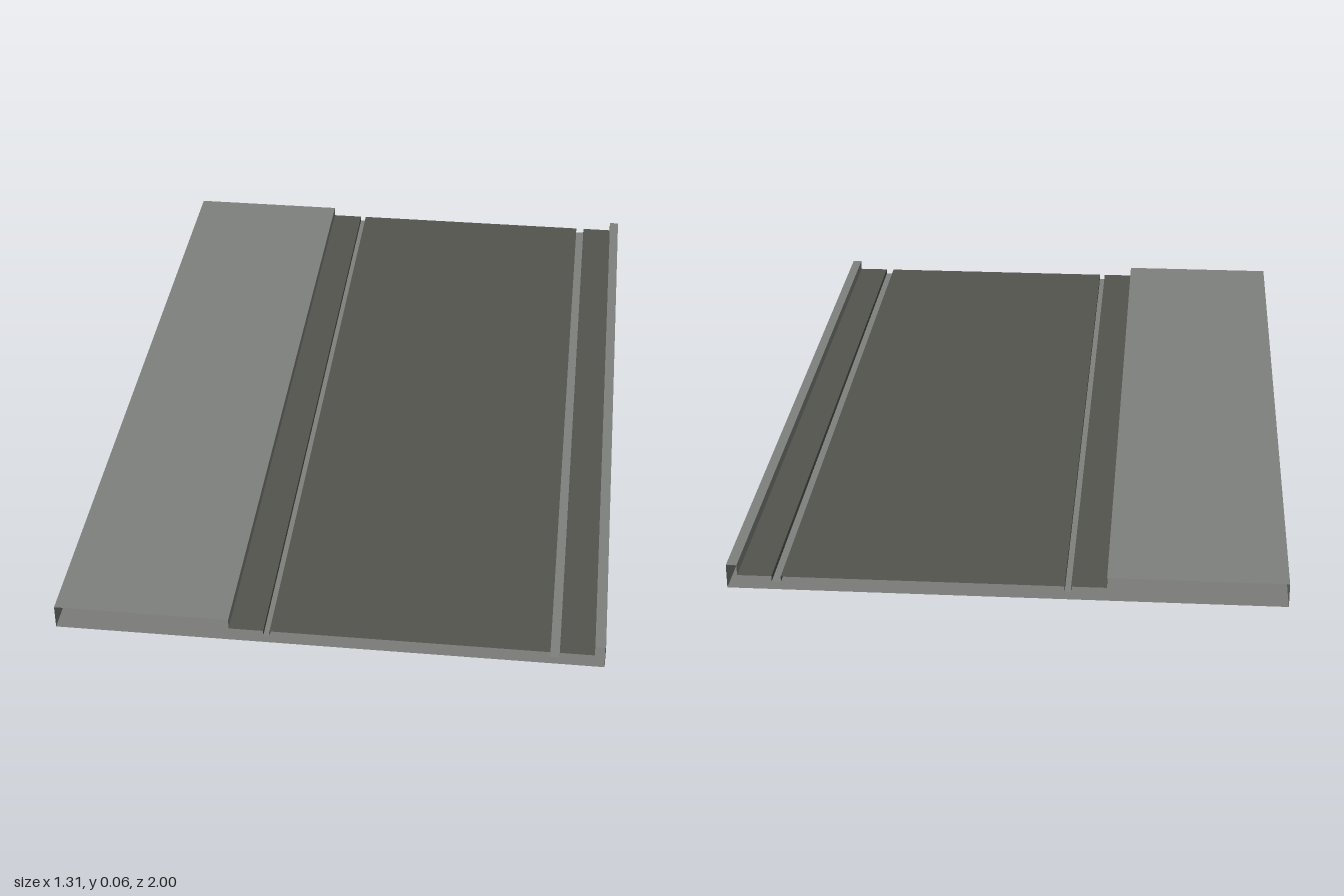
import * as THREE from 'three';

const paving = new THREE.MeshStandardMaterial({ color: 0x7e817d, side: THREE.DoubleSide });
paving.name = 'paving grey';
const concrete = new THREE.MeshStandardMaterial({ color: 0x7b7b79, side: THREE.DoubleSide });
concrete.name = 'concrete grey';
const asphalt = new THREE.MeshStandardMaterial({ color: 0x54544e, side: THREE.DoubleSide });
asphalt.name = 'asphalt';

const LENGTH = 2, EDGE = 0.655, TOP = 0.06, ROAD = 0.034, GROOVE = 0.02;
const KERB_R = -0.235, KERB_L = 0.63;

// Open sheet swept along z through [x, y] points; left-to-right points face up
function sheet(name, material, points) {
  const positions = [];
  const h = LENGTH / 2;
  for (let i = 0; i + 1 < points.length; i++) {
    const [ax, ay] = points[i], [bx, by] = points[i + 1];
    positions.push(ax, ay, -h, ax, ay, h, bx, by, h);
    positions.push(ax, ay, -h, bx, by, h, bx, by, -h);
  }
  const geometry = new THREE.BufferGeometry();
  geometry.setAttribute('position', new THREE.Float32BufferAttribute(positions, 3));
  geometry.computeVertexNormals();
  const mesh = new THREE.Mesh(geometry, material);
  mesh.name = name;
  return mesh;
}

export function createModel() {
  const group = new THREE.Group();
  group.name = 'streetSection';

  // Hollow shell, open at both ends
  group.add(sheet('base', concrete, [[EDGE, 0], [-EDGE, 0]]));
  group.add(sheet('rightSide', concrete, [[-EDGE, 0], [-EDGE, TOP]]));
  group.add(sheet('leftSide', concrete, [[EDGE, TOP], [EDGE, 0]]));

  // Wide pavement and narrow kerb with their steps down to the road
  group.add(sheet('pavement', paving, [[-EDGE, TOP], [KERB_R, TOP], [KERB_R, ROAD]]));
  group.add(sheet('kerb', paving, [[KERB_L, ROAD], [KERB_L, TOP], [EDGE, TOP]]));

  // Road surface broken by two narrow grooves
  const grooves = [[-0.152, -0.137], [0.527, 0.549]];
  let start = [[KERB_R, ROAD]];
  for (const [a, b] of grooves) {
    group.add(sheet('road', asphalt, [...start, [a, ROAD], [a, GROOVE]]));
    group.add(sheet('grooveFloor', paving, [[a, GROOVE], [b, GROOVE]]));
    start = [[b, GROOVE], [b, ROAD]];
  }
  group.add(sheet('road', asphalt, [...start, [KERB_L, ROAD]]));
  return group;
}
